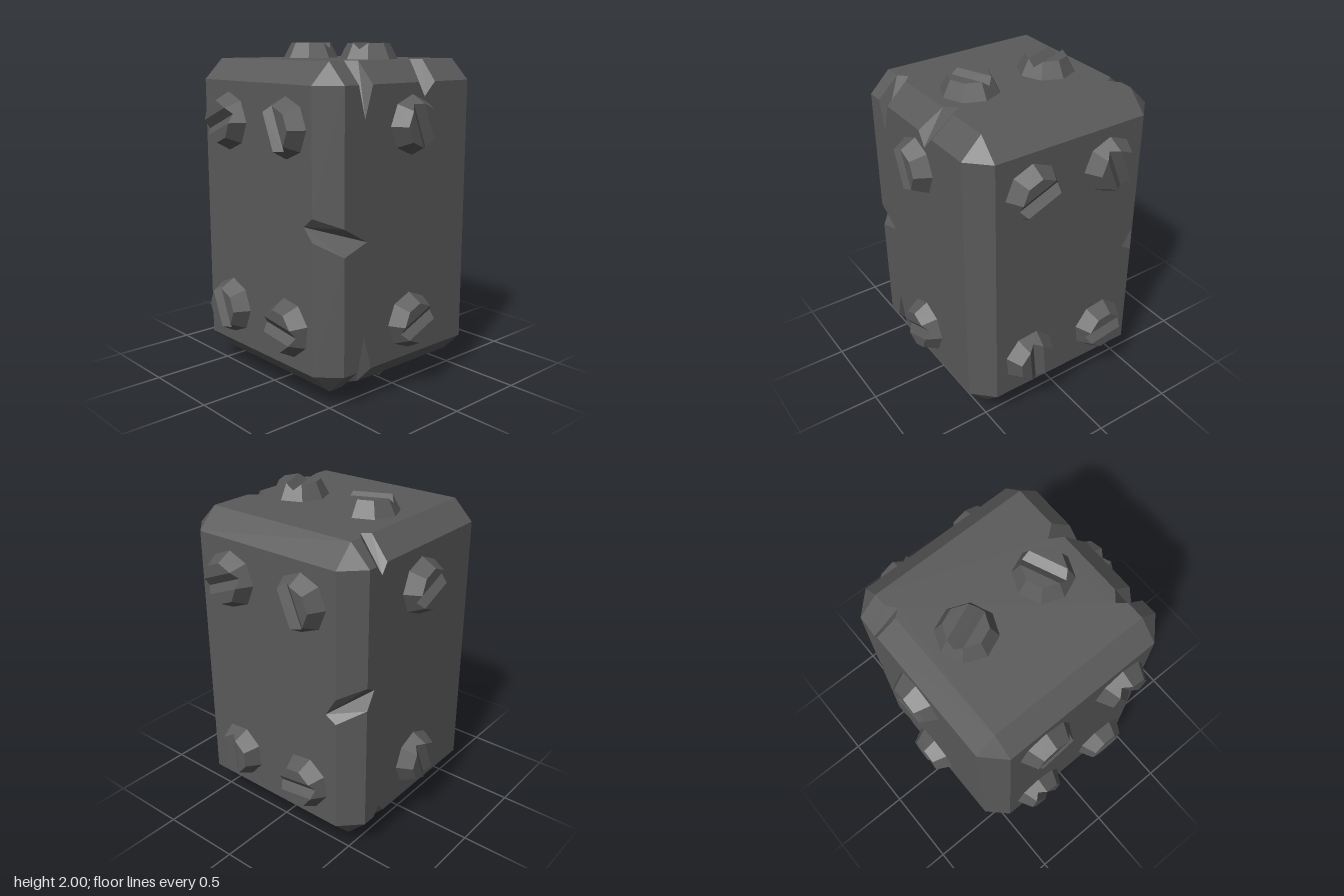
import * as THREE from 'three';

const LO = [-0.605, 0.095, -0.605], HI = [0.605, 1.91, 0.605], CHAMFER = 0.12;
const plane = (axis, s) => (s > 0 ? HI : LO)[axis];
const inset = (axis, s) => plane(axis, s) - s * CHAMFER;

// Chipped notches: the edge runs along `axis` between two faces.
// Each face: [axis, sign, start, end, apex position, apex depth]
const NOTCHES = [
  { axis: 1, faces: [[2, 1, 0.97, 1.1, 1.045, 0.07], [0, 1, 0.89, 1.045, 0.95, 0.165]] },
  { axis: 1, faces: [[2, -1, 0.905, 1.06, 0.945, 0.07], [0, -1, 0.98, 1.12, 1.085, 0.06]] },
  { axis: 2, faces: [[0, 1, 0.285, 0.387, 0.34, 0.18], [1, 1, 0.28, 0.38, 0.336, 0.05]] },
  { axis: 2, faces: [[0, 1, -0.2, -0.065, -0.117, 0.08], [1, 1, -0.224, -0.12, -0.164, 0.075]] },
  { axis: 2, faces: [[0, 1, 0.28, 0.39, 0.34, 0.205], [1, -1, 0.28, 0.39, 0.34, 0.05]] },
  { axis: 2, faces: [[0, -1, -0.43, -0.34, -0.38, 0.06], [1, 1, -0.405, -0.315, -0.35, 0.045]] },
  { axis: 2, faces: [[0, -1, -0.4, -0.31, -0.36, 0.06], [1, -1, -0.4, -0.31, -0.36, 0.05]] },
];

// Collects polygons, turning every triangle towards an outward hint
class Surface {
  constructor() { this.positions = []; }
  triangle(a, b, c, hint) {
    const [p, q, r] = [a, b, c].map((v) => new THREE.Vector3(...v));
    const normal = q.clone().sub(p).cross(r.clone().sub(p));
    const order = normal.dot(new THREE.Vector3(...hint)) < 0 ? [a, c, b] : [a, b, c];
    this.positions.push(...order.flat());
  }
  fan(points, hint) {
    for (let i = 1; i < points.length - 1; i++) this.triangle(points[0], points[i], points[i + 1], hint);
  }
  flat(points, u, v, hint) {
    const outline = points.map((p) => new THREE.Vector2(p[u], p[v]));
    for (const [a, b, c] of THREE.ShapeUtils.triangulateShape(outline, [])) {
      this.triangle(points[a], points[b], points[c], hint);
    }
  }
  geometry() {
    const g = new THREE.BufferGeometry();
    g.setAttribute('position', new THREE.Float32BufferAttribute(this.positions, 3));
    g.computeVertexNormals();
    return g;
  }
}

// Point on face (b, sb), next to face (c, sc), at t along the shared edge
function edgePoint(axis, t, b, sb, c, sc, depth = 0) {
  const p = [0, 0, 0];
  p[axis] = t;
  p[b] = plane(b, sb);
  p[c] = inset(c, sc) - sc * depth;
  return p;
}

// Notches on the edge between two faces, sorted, with (b) data first
function notchesOn(b, sb, c, sc) {
  return NOTCHES.map(({ faces }) => {
    const fb = faces.find((f) => f[0] === b && f[1] === sb);
    const fc = faces.find((f) => f[0] === c && f[1] === sc);
    return fb && fc && [fb, fc];
  }).filter(Boolean).sort((m, n) => m[0][2] - n[0][2]);
}

function bodyGeometry() {
  const s = new Surface();
  const signs = [-1, 1];

  // Six main faces with their notched outlines
  for (let b = 0; b < 3; b++) for (const sb of signs) {
    const u = (b + 1) % 3, v = (b + 2) % 3;
    const outline = [];
    for (const [axis, c, sc, dir] of [[u, v, -1, 1], [v, u, 1, 1], [u, v, 1, -1], [v, u, -1, -1]]) {
      outline.push(edgePoint(axis, inset(axis, -dir), b, sb, c, sc));
      const cuts = notchesOn(b, sb, c, sc).flatMap(([f]) => [
        edgePoint(axis, f[2], b, sb, c, sc),
        edgePoint(axis, f[4], b, sb, c, sc, f[5]),
        edgePoint(axis, f[3], b, sb, c, sc),
      ]);
      outline.push(...(dir > 0 ? cuts : cuts.reverse()));
    }
    const hint = [0, 0, 0];
    hint[b] = sb;
    s.flat(outline, u, v, hint);
  }

  // Twelve chamfers, interrupted by the notches
  for (let axis = 0; axis < 3; axis++) for (const sb of signs) for (const sc of signs) {
    const b = (axis + 1) % 3, c = (axis + 2) % 3;
    const hint = [0, 0, 0];
    hint[b] = sb;
    hint[c] = sc;
    const onB = (t, d) => edgePoint(axis, t, b, sb, c, sc, d);
    const onC = (t, d) => edgePoint(axis, t, c, sc, b, sb, d);
    let tb = inset(axis, -1), tc = tb;
    for (const [fb, fc] of notchesOn(b, sb, c, sc)) {
      s.fan([onB(tb), onB(fb[2]), onC(fc[2]), onC(tc)], hint);
      [tb, tc] = [fb[3], fc[3]];
      // Two sloping notch walls
      for (const [k, dir] of [[2, 1], [3, -1]]) {
        const wallHint = [0, 0, 0];
        wallHint[axis] = dir;
        s.fan([onB(fb[4], fb[5]), onB(fb[k]), onC(fc[k]), onC(fc[4], fc[5])], wallHint);
      }
    }
    const end = inset(axis, 1);
    s.fan([onB(tb), onB(end), onC(end), onC(tc)], hint);
  }

  // Eight corner triangles
  for (const x of signs) for (const y of signs) for (const z of signs) {
    const sign = [x, y, z];
    s.fan([0, 1, 2].map((k) => sign.map((d, i) => (i === k ? plane(i, d) : inset(i, d)))), sign);
  }
  return s.geometry();
}

// Eight-sided tapered bolt along +z with a V slot along local x
function boltGeometry(baseR = 0.168, topR = 0.12, height = 0.09, depth = 0.035) {
  const s = new Surface();
  const ring = (r, z) => Array.from({ length: 8 }, (_, i) => {
    const a = (i - 0.5) * Math.PI / 4;
    return [r * Math.cos(a), r * Math.sin(a), z];
  });
  const base = ring(baseR, 0), top = ring(topR, height);
  const slotX = (topR + (baseR - topR) * depth / height) * Math.cos(Math.PI / 8);
  const slotEnd = { 0: [slotX, 0, height - depth], 4: [-slotX, 0, height - depth] };
  for (let i = 0; i < 8; i++) {
    const j = (i + 1) % 8, a = i * Math.PI / 4;
    const hint = [Math.cos(a), Math.sin(a), 0];
    if (slotEnd[i]) {
      s.fan([slotEnd[i], top[i], base[i], base[j], top[j]], hint);
    } else {
      s.fan([base[i], base[j], top[j], top[i]], hint);
    }
  }
  s.fan(top.slice(1, 5), [0, 0, 1]);
  s.fan([top[5], top[6], top[7], top[0]], [0, 0, 1]);
  s.fan([top[1], top[4], slotEnd[4], slotEnd[0]], [0, 0, 1]);
  s.fan([top[0], top[5], slotEnd[4], slotEnd[0]], [0, 0, 1]);
  return s.geometry();
}

// Bolts per face: normal, up, then [position, slot angle in degrees]
const H = 0.605;
const BOLTS = {
  front: [[0, 0, 1], [0, 1, 0], [[-0.25, 1.56, H], 22.5], [[0.275, 1.56, H], 112.5],
    [[-0.25, 0.447, H], 112.5], [[0.278, 0.445, H], -7]],
  back: [[0, 0, -1], [0, 1, 0], [[0.257, 1.56, -H], 22.5], [[-0.255, 1.56, -H], 112.5],
    [[0.257, 0.435, -H], 95], [[-0.255, 0.435, -H], 8]],
  left: [[1, 0, 0], [0, 1, 0], [[H, 1.56, -0.02], 112.5], [[H, 0.43, -0.02], 22.5]],
  right: [[-1, 0, 0], [0, 1, 0], [[-H, 1.56, -0.02], 22.5], [[-H, 0.447, -0.02], 112.5]],
  top: [[0, 1, 0], [0, 0, -1], [[-0.255, HI[1], -0.02], 22.5], [[0.255, HI[1], -0.02], 112.5]],
  bottom: [[0, -1, 0], [0, 0, 1], [[-0.28, LO[1], -0.02], 112.5], [[0.25, LO[1], -0.02], 22.5]],
};

export function createModel() {
  const model = new THREE.Group();
  const iron = new THREE.MeshStandardMaterial({ color: 0x5a5a5a, flatShading: true });
  iron.name = 'dark iron';

  const body = new THREE.Mesh(bodyGeometry(), iron);
  body.name = 'chippedBlock';
  model.add(body);

  const bolt = boltGeometry();
  for (const [side, [n, u, ...places]] of Object.entries(BOLTS)) {
    const normal = new THREE.Vector3(...n), up = new THREE.Vector3(...u);
    const basis = new THREE.Matrix4().makeBasis(up.clone().cross(normal), up, normal);
    for (const [position, angle] of places) {
      const mesh = new THREE.Mesh(bolt, iron);
      mesh.name = `${side}Bolt`;
      mesh.quaternion.setFromRotationMatrix(basis);
      mesh.rotateZ(THREE.MathUtils.degToRad(angle));
      mesh.position.set(...position);
      model.add(mesh);
    }
  }
  return model;
}
